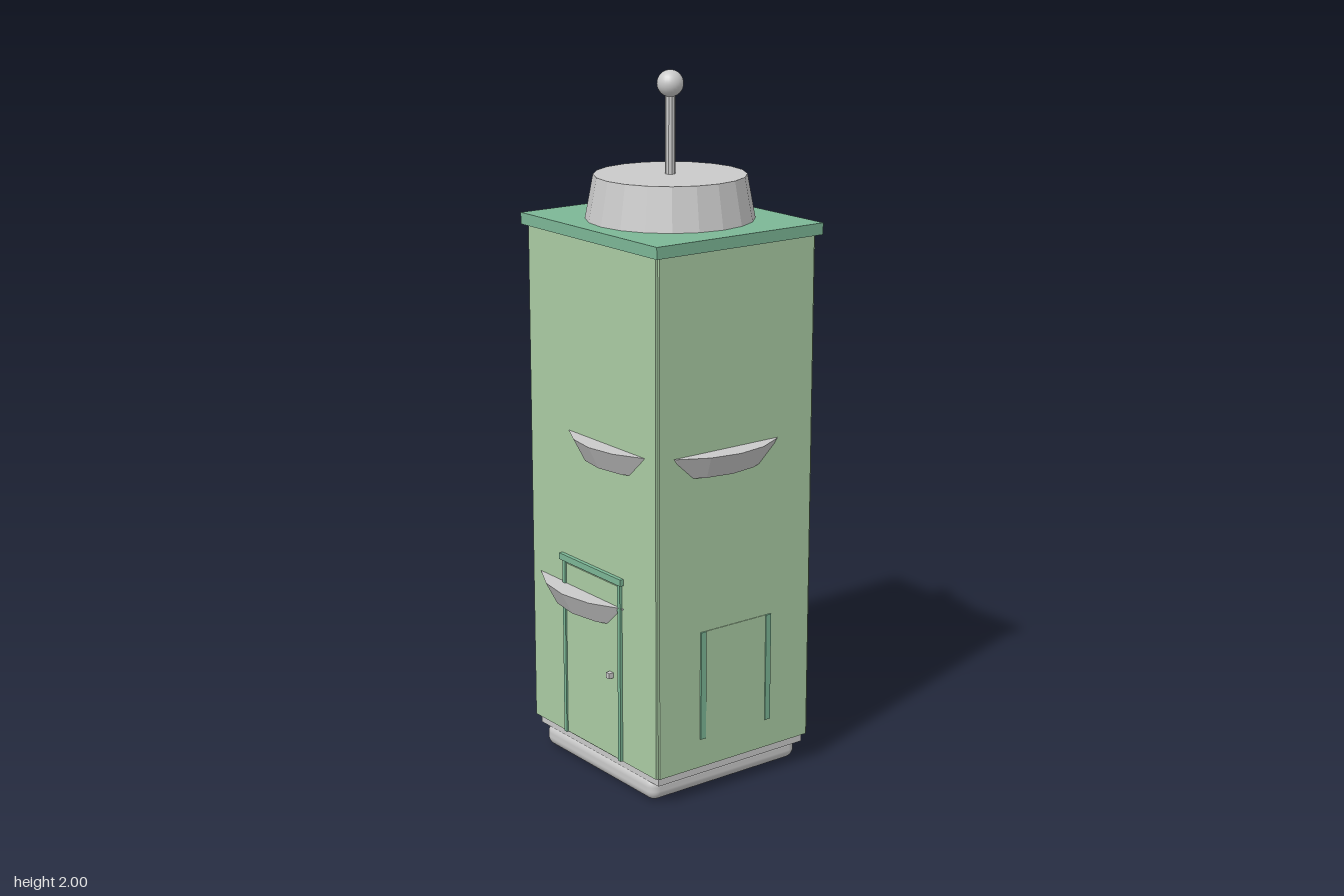
import * as THREE from 'three';
import { RoundedBoxGeometry } from 'three/addons/geometries/RoundedBoxGeometry.js';

const CX = 0.015; // tower axis

export function createModel() {
  const model = new THREE.Group();
  model.name = 'tower';

  const material = (name, color, flatShading = false) => {
    const m = new THREE.MeshStandardMaterial({ color, flatShading });
    m.name = name;
    return m;
  };
  const wall = material('paleGreen', 0xaacca4);
  const trim = material('green', 0x7cb796);
  const grey = material('grey', 0xcacaca);

  const add = (name, geometry, mat, x, y, z) => {
    const mesh = new THREE.Mesh(geometry, mat);
    mesh.name = name;
    mesh.position.set(x, y, z);
    model.add(mesh);
    return mesh;
  };
  // Box given by its extents
  const box = (name, mat, x0, x1, y0, y1, z0, z1) =>
    add(name, new THREE.BoxGeometry(x1 - x0, y1 - y0, z1 - z0), mat,
      (x0 + x1) / 2, (y0 + y1) / 2, (z0 + z1) / 2);
  // Faceted tapered drum standing on y0
  const drum = (name, rTop, rBottom, y0, y1, x, z, sides = 20) => {
    const g = new THREE.CylinderGeometry(rTop, rBottom, y1 - y0, sides).toNonIndexed();
    g.computeVertexNormals();
    return add(name, g, grey, x, (y0 + y1) / 2, z);
  };

  // Rounded foot and plinth
  add('foot', new RoundedBoxGeometry(0.53, 0.072, 0.53, 4, 0.03), grey, CX, 0.036, 0);
  box('plinth', grey, CX - 0.288, CX + 0.288, 0.06, 0.088, -0.26, 0.26);

  // Two crossed blocks leave a fine notch along each corner
  box('sideWalls', wall, CX - 0.302, CX + 0.302, 0.087, 1.56, -0.266, 0.266);
  box('frontAndBackWalls', wall, CX - 0.295, CX + 0.295, 0.087, 1.56, -0.274, 0.274);

  // Roof slab, drum, mast and ball
  box('roof', trim, CX - 0.316, CX + 0.316, 1.56, 1.593, -0.285, 0.285);
  drum('roofDrum', 0.213, 0.236, 1.593, 1.715, CX, 0);
  drum('mast', 0.014, 0.014, 1.71, 1.95, CX, 0, 10);
  add('ball', new THREE.SphereGeometry(0.037, 24, 16), grey, CX, 1.963, 0);

  // Off-centre discs poking out through the walls
  drum('lowerDisc', 0.341, 0.308, 0.482, 0.547, -0.04, 0);
  drum('middleDisc', 0.296, 0.263, 0.94, 1.005, 0.084, 0.037);
  drum('upperDisc', 0.25, 0.217, 1.355, 1.42, -0.015, -0.03);

  // Door with frame and knob
  box('door', wall, -0.112, 0.144, 0.09, 0.607, 0.27, 0.277);
  for (const x of [-0.122, 0.143])
    box('doorPost', trim, x, x + 0.012, 0.088, 0.615, 0.27, 0.282);
  box('doorLintel', trim, -0.132, 0.162, 0.615, 0.634, 0.27, 0.286);
  box('doorKnob', grey, 0.1, 0.116, 0.328, 0.344, 0.27, 0.292);

  // Side panels with upright strips
  for (const s of [-1, 1]) {
    const strip = new THREE.BoxGeometry(0.008, 0.318, 0.018);
    for (const z of [-0.116, 0.116])
      add('panelStrip', strip, trim, CX + s * 0.303, 0.331, z);
    add('sidePanel', new THREE.BoxGeometry(0.006, 0.318, 0.214), wall, CX + s * 0.301, 0.331, 0);
  }
  return model;
}
